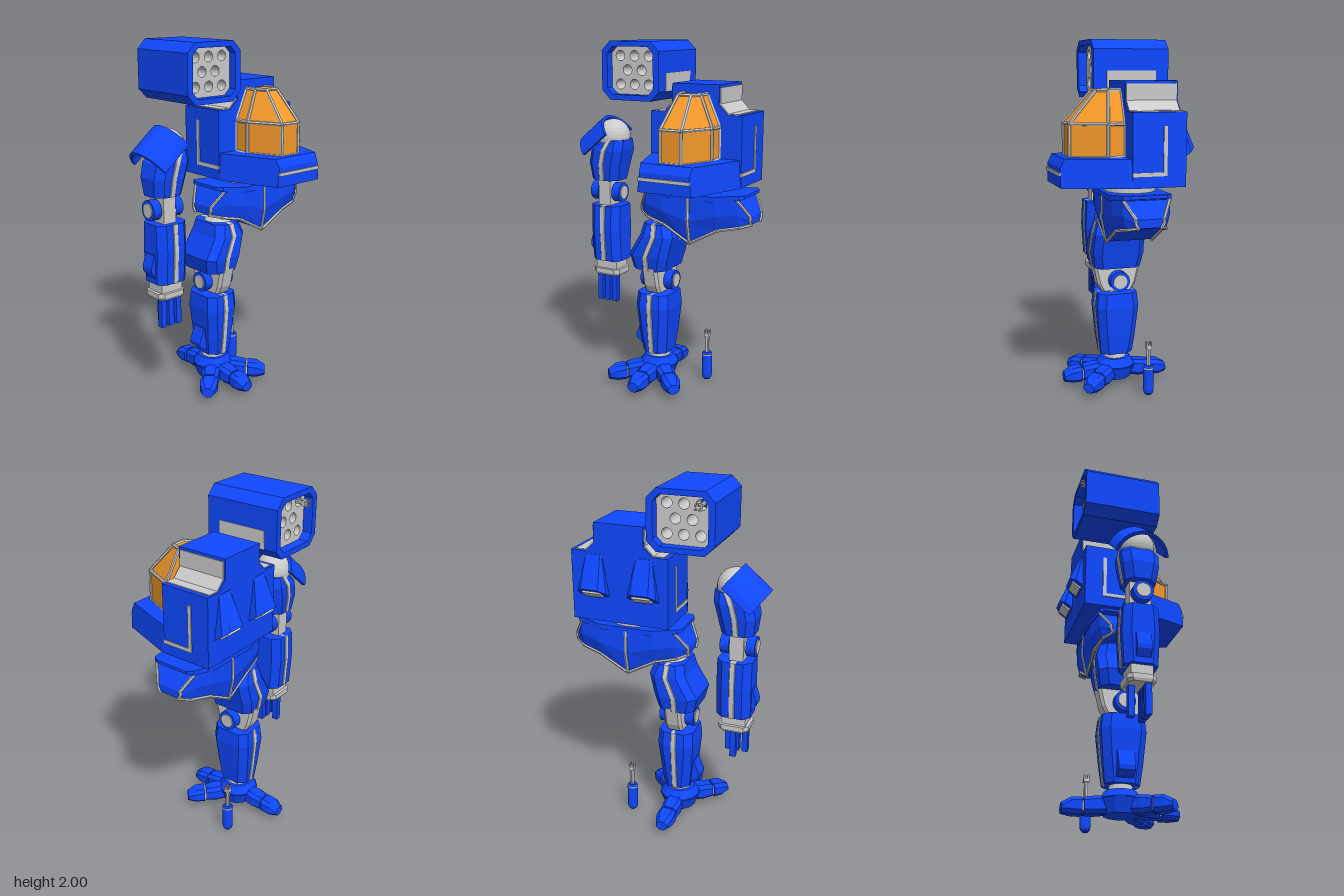
import * as THREE from 'three';

const mat = (color) => new THREE.MeshStandardMaterial({ color, flatShading: true, side: THREE.DoubleSide });
const blue = mat(0x0f48ff), orange = mat(0xf59a2a), grey = mat(0xcccccc);
const V = (x, y, z) => new THREE.Vector3(x, y, z);

function add(parent, name, geo, material, x = 0, y = 0, z = 0) {
  const m = new THREE.Mesh(geo, material);
  m.name = name;
  m.position.set(x, y, z);
  parent.add(m);
  return m;
}
function group(parent, name, x = 0, y = 0, z = 0) {
  const g = new THREE.Group();
  g.name = name;
  g.position.set(x, y, z);
  parent.add(g);
  return g;
}
const box = (w, h, d) => new THREE.BoxGeometry(w, h, d);
const cylX = (r, len, seg = 20) => new THREE.CylinderGeometry(r, r, len, seg).rotateZ(Math.PI / 2);

// Skin between matching rings of points, closed at both ends, always facing outwards
function loft(rings) {
  const n = rings[0].length, pts = rings.flat(), tris = [];
  for (let r = 0; r < rings.length - 1; r++) for (let i = 0; i < n; i++) {
    const a = r * n + i, b = r * n + (i + 1) % n;
    tris.push([a, b, b + n], [a, b + n, a + n]);
  }
  const e = (rings.length - 1) * n;
  for (let i = 1; i < n - 1; i++) tris.push([0, i + 1, i], [e, e + i, e + i + 1]);
  let vol = 0;
  const c = pts[0];
  for (const [i, j, k] of tris) vol += pts[i].clone().sub(c).dot(pts[j].clone().sub(c).cross(pts[k].clone().sub(c)));
  const verts = tris.flatMap(([i, j, k]) => (vol < 0 ? [i, k, j] : [i, j, k]).map((q) => pts[q]));
  const g = new THREE.BufferGeometry().setFromPoints(verts);
  g.computeVertexNormals();
  return g;
}
const octagon = (hx, hy, c) => [[hx, -hy + c], [hx, hy - c], [hx - c, hy], [-hx + c, hy],
  [-hx, hy - c], [-hx, -hy + c], [-hx + c, -hy], [hx - c, -hy]];
const shapeOf = (pts) => new THREE.Shape(pts.map((p) => new THREE.Vector2(...p)));
const extrude = (shape, depth, seg = 12) => new THREE.ExtrudeGeometry(shape, { depth, bevelEnabled: false, curveSegments: seg });

// Straight trim bar between two points
function bar(parent, name, a, b, r) {
  const m = add(parent, name, new THREE.CylinderGeometry(r, r, a.distanceTo(b) + r, 6), grey);
  m.position.copy(a).lerp(b, 0.5);
  m.quaternion.setFromUnitVectors(V(0, 1, 0), b.clone().sub(a).normalize());
}

// Armoured limb: chamfered blue shell with a grey seam; sections are [y, centreX, halfX, halfZ]
function limb(parent, name, sections, chamfer = 0.04) {
  const skin = (fx, grow, ch) => loft(sections.map(([y, cx, hx, hz]) =>
    octagon(fx || hx, hz + grow, ch).map(([x, z]) => V(cx + x, y, z))));
  add(parent, name, skin(0, 0, chamfer), blue);
  add(parent, name + 'Seam', skin(0.016, 0.005, 0.003), grey);
}

// Hinge with blue hubs and grey caps
function hinge(parent, name, x, y, r, w) {
  const g = group(parent, name, x, y, 0);
  add(g, 'hingeAxle', cylX(r * 0.7, w + 0.012), grey);
  for (const s of [-1, 1]) {
    add(g, 'hingeHub', cylX(r, 0.05), blue, s * (w / 2 - 0.025));
    add(g, 'hingeLink', box(0.018, r * 3, r * 1.4), grey, s * 0.025);
  }
}

// Small missile: blue body, grey stem and forked tail, standing on its nose
function missile(parent) {
  const g = group(parent, 'missile');
  const prof = [[0, 0], [0.016, 0.005], [0.027, 0.018], [0.03, 0.035], [0.03, 0.17], [0.022, 0.18], [0, 0.18]];
  add(g, 'missileBody', new THREE.LatheGeometry(prof.map((p) => new THREE.Vector2(...p)), 16), blue);
  add(g, 'missileBand', new THREE.CylinderGeometry(0.031, 0.031, 0.008, 16), grey, 0, 0.165, 0);
  add(g, 'missileStem', new THREE.CylinderGeometry(0.012, 0.012, 0.11, 10), grey, 0, 0.23, 0);
  add(g, 'missileTail', box(0.03, 0.02, 0.03), grey, 0, 0.288, 0);
  for (const sx of [-1, 1]) for (const sz of [-1, 1])
    add(g, 'tailProng', box(0.008, 0.024, 0.008), grey, sx * 0.011, 0.306, sz * 0.011);
  return g;
}

function buildPod(root) {
  const g = group(root, 'missilePod', -0.15, 1.84, 0);
  const shell = shapeOf(octagon(0.18, 0.16, 0.052));
  shell.holes.push(new THREE.Path(octagon(0.145, 0.13, 0.035).map((p) => new THREE.Vector2(...p))));
  add(g, 'podShell', extrude(shell, 0.435), blue, 0, 0, -0.345);
  const core = shapeOf(octagon(0.15, 0.135, 0.035));
  for (const [row, y] of [[[-0.09, 0, 0.09], 0.08], [[-0.045, 0.045], 0.003], [[-0.09, 0, 0.09], -0.075]])
    for (const x of row) core.holes.push(new THREE.Path().absarc(x, y, 0.028, 0, Math.PI * 2, true));
  add(g, 'launchTubes', extrude(core, 0.33), grey, 0, 0, -0.29);
  add(g, 'podMount', box(0.02, 0.1, 0.285), grey, 0.173, -0.06, -0.128);
  const m = missile(g);
  m.position.set(-0.09, 0.08, -0.04);
  m.rotation.x = -Math.PI / 2;
}

function buildTorso(root) {
  const g = group(root, 'torso', 0.215, 0, 0);
  const half = [[0.275, 1.24], [0.275, 1.625], [0.19, 1.625], [0.14, 1.675], [0.14, 1.78]];
  const mirror = half.map(([x, y]) => [-x, y]).reverse();
  add(g, 'hull', extrude(shapeOf([...half, ...mirror]), 0.29), blue, 0, 0, -0.275);
  const lip = (z, hx, top) => [V(-hx, 1.24, z), V(hx, 1.24, z), V(hx - 0.012, top, z), V(-hx + 0.012, top, z)];
  add(g, 'noseLip', loft([lip(0, 0.275, 1.39), lip(0.03, 0.275, 1.39), lip(0.335, 0.165, 1.39), lip(0.36, 0.158, 1.345)]), blue);
  add(g, 'noseTrim', box(0.3, 0.018, 0.02), grey, 0, 1.31, 0.358);

  for (const s of [-1, 1]) {
    // Shoulder recess lining and side trim
    const lining = [[0.25, 1.62], [0.25, 1.63], [0.193, 1.63], [0.146, 1.68], [0.146, 1.765], [0.135, 1.765], [0.135, 1.66], [0.185, 1.62]];
    add(g, 'shoulderLining', extrude(shapeOf(lining.map(([x, y]) => [s * x, y])), 0.275), grey, 0, 0, -0.267);
    add(g, 'sideTrim', box(0.01, 0.02, 0.185), grey, s * 0.275, 1.31, -0.077);
    add(g, 'sideTrim', box(0.01, 0.255, 0.02), grey, s * 0.275, 1.428, -0.16);
    // Rear exhaust cowl
    const cowl = (y, w, w2, z1, z2, y2) => [V(w, y, -0.265), V(w, y + (y2 - y) * 0.6, z1), V(w2, y2, z2),
      V(-w2, y2, z2), V(-w, y + (y2 - y) * 0.6, z1), V(-w, y, -0.265)];
    const ex = group(g, 'exhaust', s * 0.142, 0, 0);
    add(ex, 'exhaustCowl', loft([cowl(1.61, 0.045, 0.035, -0.274, -0.278, 1.61),
      cowl(1.375, 0.083, 0.05, -0.32, -0.35, 1.435)]), blue);
    add(ex, 'exhaustVent', box(0.1, 0.014, 0.06), grey, 0, 1.4, -0.308).rotation.x = 0.64;
  }

  // Canopy: orange glass with grey frame bars
  const outline = (y, pts) => [...pts.map(([x, z]) => V(-x, y, z)), ...pts.map(([x, z]) => V(x, y, z)).reverse()];
  const wide = [[0.145, 0.01], [0.145, 0.105], [0.062, 0.29]];
  const rings = [outline(1.385, wide), outline(1.56, wide), outline(1.73, [[0.07, 0.01], [0.065, 0.08], [0.038, 0.14]])];
  const c = group(g, 'canopy');
  add(c, 'canopyGlass', loft(rings), orange);
  rings.forEach((ring, r) => ring.forEach((p, i) => {
    if (i < 5) bar(c, 'canopyFrame', p, ring[i + 1], 0.01);
    if (r < 2) bar(c, 'canopyFrame', p, rings[r + 1][i], 0.01);
  }));
}

function buildPelvis(root) {
  const g = group(root, 'pelvis', 0.215, 0, -0.06);
  add(g, 'waist', new THREE.CylinderGeometry(0.14, 0.14, 0.08, 24), grey, 0, 1.21, 0);
  const both = (list) => [...list.slice(1).reverse().map(([d, ...r]) => [-d, ...r]), ...list];
  const ring = ([d, t, b, hz]) => [V(d, t, -hz), V(d, t, hz), V(d, (t + b) / 2, hz * 1.02),
    V(d, b, hz * 0.85), V(d, b, -hz * 0.85), V(d, (t + b) / 2, -hz * 1.02)];
  const hips = both([[0, 1.17, 0.915, 0.155], [0.165, 1.17, 1.005, 0.152], [0.28, 1.18, 1.03, 0.125], [0.335, 1.09, 1.045, 0.075]]).map(ring);
  add(g, 'hipArmour', loft(hips), blue);
  add(g, 'hipPlate', loft(both([[0, 1.165, 1.195, 0.16], [0.15, 1.165, 1.195, 0.16], [0.29, 1.185, 1.21, 0.13], [0.31, 1.19, 1.207, 0.1]])
    .map(([d, b, t, hz]) => [V(d, b, -hz), V(d, b, hz), V(d, t, hz), V(d, t, -hz)])), blue);
  // Trim follows the lower edge, the centre line and the side corners
  for (const [top, mid, low] of [[1, 2, 3], [0, 5, 4]]) {
    for (let i = 0; i < hips.length - 1; i++) bar(g, 'hipTrim', hips[i][low], hips[i + 1][low], 0.009);
    for (const i of [0, 3, 6]) {
      bar(g, 'hipTrim', hips[i][top], hips[i][mid], 0.009);
      bar(g, 'hipTrim', hips[i][mid], hips[i][low], 0.009);
    }
    for (const [a, b] of [[0, 1], [5, 6]]) bar(g, 'hipTrim', hips[a][top], hips[b][top], 0.009);
  }
}

function buildLeg(root) {
  const g = group(root, 'leg', 0, 0, -0.058);
  add(g, 'hipJoint', new THREE.SphereGeometry(0.1, 16, 12), grey, 0.0, 0.935, 0);
  limb(g, 'thigh', [[0.715, -0.06, 0.105, 0.135], [0.8, -0.06, 0.125, 0.15], [0.92, -0.01, 0.105, 0.145], [0.99, -0.015, 0.085, 0.125]]);
  add(g, 'kneeBlock', loft([[0.575, 0.09], [0.62, 0.115], [0.73, 0.14]].map(([y, hz]) =>
    octagon(0.05, hz, 0.015).map(([x, z]) => V(-0.045 + x, y, z)))), grey);
  hinge(g, 'knee', -0.043, 0.64, 0.058, 0.205);
  limb(g, 'shin', [[0.195, -0.05, 0.078, 0.095], [0.3, -0.05, 0.09, 0.108], [0.48, -0.05, 0.106, 0.124], [0.565, -0.05, 0.1, 0.115]]);
  const fin = shapeOf([[-0.12, 0.37], [-0.15, 0.36], [-0.184, 0.275], [-0.18, 0.25], [-0.12, 0.215]]);
  add(g, 'calfFin', extrude(fin, 0.09), blue, 0, 0, -0.045);
  // Foot with four toes
  const foot = group(g, 'foot', -0.05, 0, 0);
  add(foot, 'ankle', new THREE.CylinderGeometry(0.06, 0.07, 0.09, 16), grey, 0, 0.175, 0);
  add(foot, 'footCollar', new THREE.CylinderGeometry(0.085, 0.12, 0.05, 12), blue, 0, 0.14, 0);
  add(foot, 'footBase', new THREE.CylinderGeometry(0.12, 0.09, 0.08, 12), blue, 0, 0.08, 0);
  const part = (list) => loft(list.map(([z, w, b, t]) => octagon(w, (t - b) / 2, 0.02).map(([x, y]) => V(x, y + (t + b) / 2, z))));
  for (const deg of [0, 45, -45, 180]) {
    const toe = group(foot, 'toe');
    toe.rotation.y = deg * Math.PI / 180;
    add(toe, 'toeBase', part([[0.06, 0.042, 0.045, 0.135], [0.14, 0.052, 0.035, 0.13], [0.2, 0.046, 0.035, 0.12]]), blue);
    add(toe, 'toeJoint', box(0.07, 0.055, 0.04), grey, 0, 0.075, 0.205);
    add(toe, 'toeTip', part([[0.21, 0.05, 0.03, 0.12], [0.265, 0.05, 0.03, 0.115], [0.312, 0.034, 0.035, 0.09]]), blue);
  }
}

function buildArm(root) {
  const g = group(root, 'arm', 0, 0, -0.062);
  add(g, 'shoulderBall', new THREE.SphereGeometry(0.1, 24, 16), grey, -0.36, 1.455, 0);
  // Curved shoulder guard, tilted outwards
  const arc = new THREE.Shape().absarc(0, 0, 0.15, 0.2, Math.PI - 0.2, false).absarc(0, 0, 0.132, Math.PI - 0.2, 0.2, true);
  const pad = add(g, 'shoulderGuard', extrude(arc, 0.2, 20), blue);
  pad.quaternion.setFromRotationMatrix(new THREE.Matrix4().makeBasis(V(0, 0, 1), V(-0.64, 0.77, 0), V(-0.77, -0.64, 0)));
  pad.position.set(-0.303, 1.458, 0);
  limb(g, 'upperArm', [[1.2, -0.39, 0.09, 0.085], [1.3, -0.385, 0.105, 0.1], [1.38, -0.365, 0.105, 0.105], [1.44, -0.335, 0.075, 0.09]]);
  add(g, 'elbowBlock', box(0.08, 0.17, 0.12), grey, -0.39, 1.13, 0);
  hinge(g, 'elbow', -0.392, 1.125, 0.057, 0.195);
  limb(g, 'forearm', [[0.715, -0.382, 0.097, 0.09], [0.9, -0.382, 0.098, 0.102], [1.05, -0.382, 0.098, 0.095]]);
  const fin = shapeOf([[-0.46, 0.89], [-0.485, 0.88], [-0.507, 0.81], [-0.505, 0.785], [-0.46, 0.72]]);
  add(g, 'forearmFin', extrude(fin, 0.08), blue, 0, 0, -0.04);
  // Hand
  const hand = group(g, 'hand', -0.385, 0, 0);
  add(hand, 'wrist', box(0.14, 0.08, 0.12), grey, 0, 0.685, 0);
  add(hand, 'palm', loft([[0.62, 0.082, 0.07], [0.635, 0.088, 0.078], [0.66, 0.088, 0.078]].map(([y, hx, hz]) =>
    octagon(hx, hz, 0.025).map(([x, z]) => V(x, y, z)))), grey);
  for (const [x, z] of [[-0.05, 0.035], [0, 0.035], [0.05, 0.035], [0, -0.04]])
    add(hand, 'finger', box(0.034, 0.175, 0.034), blue, x, 0.543, z);
}

export function createModel() {
  const root = new THREE.Group();
  root.name = 'walkerRobot';
  buildPod(root);
  buildTorso(root);
  buildPelvis(root);
  buildLeg(root);
  buildArm(root);
  missile(root).position.set(0.21, 0, -0.18);
  return root;
}
